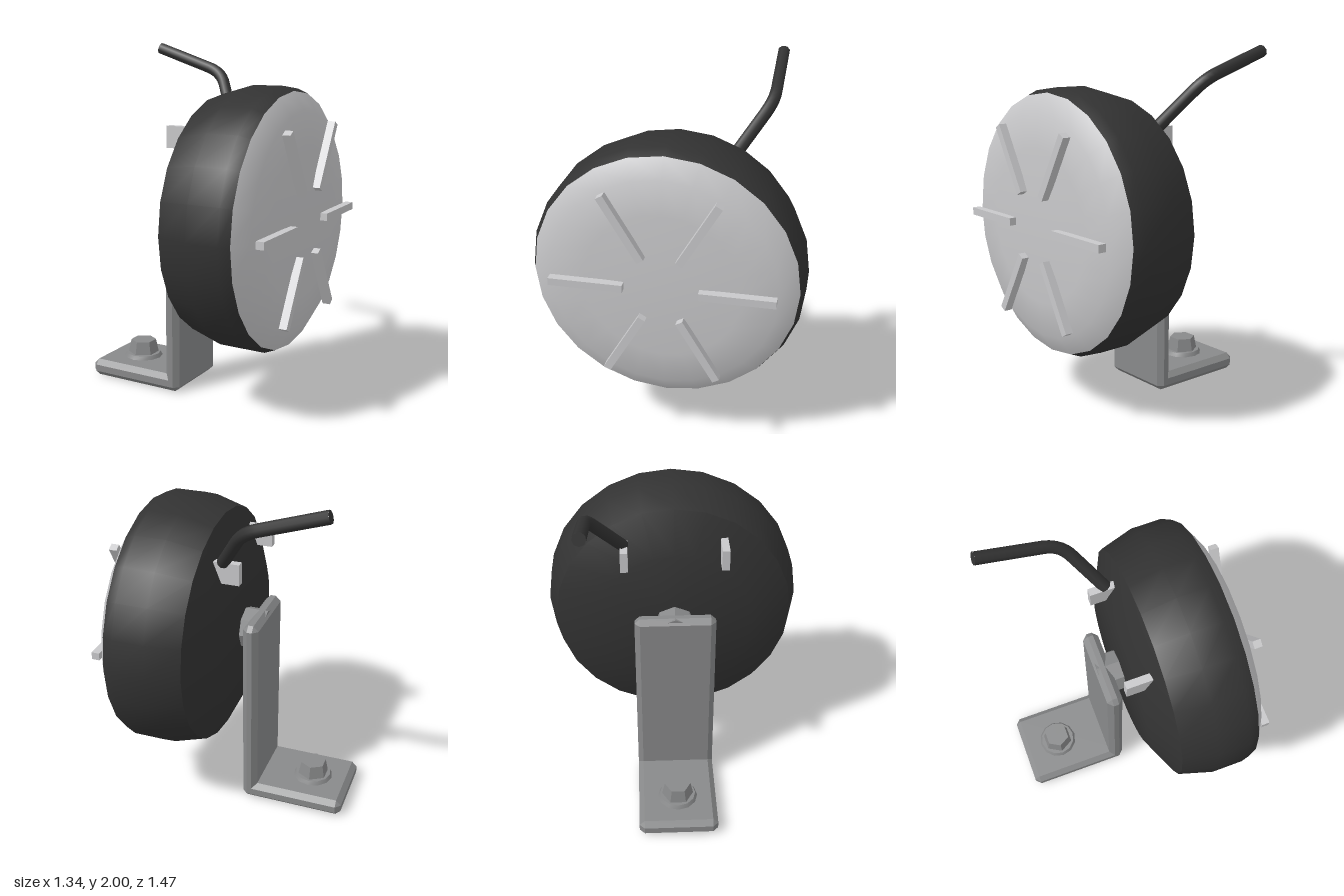
import * as THREE from 'three';
import { toCreasedNormals } from 'three/addons/utils/BufferGeometryUtils.js';
import { ConvexGeometry } from 'three/addons/geometries/ConvexGeometry.js';

const AXIS_Y = 1.05; // height of the horn's axis

// Box with 45 degree chamfers on every edge
function chamferBox(w, h, d, c) {
  const pts = [];
  for (const x of [-1, 1]) for (const y of [-1, 1]) for (const z of [-1, 1]) {
    const a = w / 2, b = h / 2, e = d / 2;
    pts.push(
      new THREE.Vector3(x * a, y * (b - c), z * (e - c)),
      new THREE.Vector3(x * (a - c), y * b, z * (e - c)),
      new THREE.Vector3(x * (a - c), y * (b - c), z * e));
  }
  return new ConvexGeometry(pts);
}

// Lathe turned about the x axis; profile rows are [x, radius]
function turned(profile, crease) {
  const pts = profile.map(([x, r]) => new THREE.Vector2(r, x));
  const geo = new THREE.LatheGeometry(pts, 24).rotateZ(-Math.PI / 2);
  return toCreasedNormals(geo, crease);
}

export function createModel() {
  const group = new THREE.Group();
  const material = (name, color, flatShading = false) =>
    new THREE.MeshStandardMaterial({ name, color, flatShading });
  const black = material('black', 0x323232);
  const steel = material('steel grey', 0x88898a);
  const silver = material('light grey', 0xc8c8ca);

  const add = (name, geo, mat, x = 0, y = 0, z = 0) => {
    const mesh = new THREE.Mesh(geo, mat);
    mesh.name = name;
    mesh.position.set(x, y, z);
    group.add(mesh);
    return mesh;
  };

  // Round housing and domed front cover
  add('housing', turned([[-0.01, 0], [0, 0.45], [0.11, 0.68], [0.3, 0.735],
    [0.48, 0.735], [0.54, 0.71]], 0.62), black, 0, AXIS_Y);
  add('frontCover', turned([[0.54, 0.71], [0.6, 0.61], [0.617, 0.42],
    [0.627, 0.21], [0.63, 0]], 0.9), silver, 0, AXIS_Y);

  // Six radial ribs on the cover
  for (let i = 0; i < 6; i++) {
    const geo = new THREE.BoxGeometry(0.045, 0.042, 0.4);
    geo.translate(0.645, 0, 0.4).rotateX((i * Math.PI) / 3);
    add('rib', geo, silver, 0, AXIS_Y);
  }

  // L-shaped bracket
  add('bracketUpright', chamferBox(0.09, 1.17, 0.46, 0.03), steel, -0.107, 0.585);
  add('bracketFoot', chamferBox(0.61, 0.1, 0.46, 0.03), steel, -0.367, 0.05);

  // Stud joining the bracket to the housing
  const stud = new THREE.CylinderGeometry(0.12, 0.12, 0.15, 8).rotateZ(Math.PI / 2);
  add('mountingStud', toCreasedNormals(stud, 0.3), steel, -0.065, AXIS_Y);

  // Fixing bolt with washer
  const washer = new THREE.CylinderGeometry(0.105, 0.118, 0.025, 12);
  add('washer', toCreasedNormals(washer, 0.6), steel, -0.445, 0.11);
  const head = new THREE.CylinderGeometry(0.076, 0.094, 0.085, 6);
  add('boltHead', toCreasedNormals(head, 0.3), steel, -0.445, 0.157);

  // Pair of terminals
  for (const side of [-1, 1]) {
    add('terminal', new THREE.BoxGeometry(0.145, 0.12, 0.042), silver, -0.003, 1.51, side * 0.277);
  }

  // Cable: two straight runs with a rounded bend
  const start = new THREE.Vector3(0.02, 1.565, -0.28);
  const corner = new THREE.Vector3(-0.155, 1.825, -0.465);
  const end = new THREE.Vector3(-0.592, 1.967, -0.465);
  const bendIn = corner.clone().lerp(start, 0.25);
  const bendOut = corner.clone().lerp(end, 0.2);
  const path = new THREE.CurvePath();
  path.add(new THREE.LineCurve3(start, bendIn));
  path.add(new THREE.QuadraticBezierCurve3(bendIn, corner, bendOut));
  path.add(new THREE.LineCurve3(bendOut, end));
  add('cable', new THREE.TubeGeometry(path, 28, 0.035, 8), black);

  // Flat caps closing the cable
  for (const [tip, from] of [[start, bendIn], [end, bendOut]]) {
    const cap = add('cableEnd', new THREE.CircleGeometry(0.035, 8), black, tip.x, tip.y, tip.z);
    cap.lookAt(tip.clone().multiplyScalar(2).sub(from));
  }

  return group;
}
